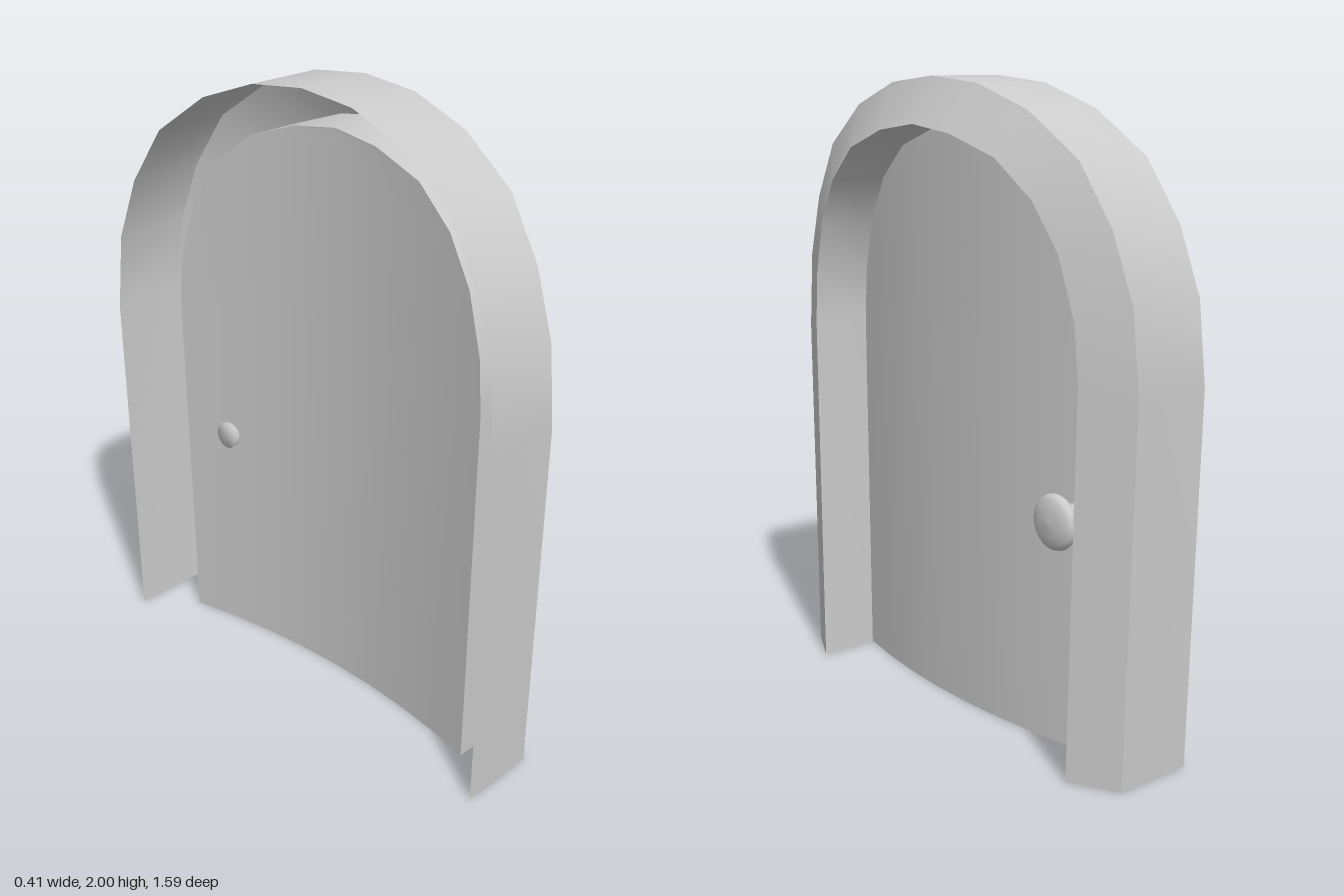
import * as THREE from 'three';

// half outlines as [z, y], from the foot up to the crown
const OUTER = [[0.77, 0], [0.795, 1.15], [0.77, 1.4], [0.7, 1.6], [0.585, 1.78], [0.4, 1.91], [0.2, 1.98], [0, 2]];
const INNER = [[0.62, 0], [0.64, 1.18], [0.625, 1.35], [0.57, 1.53], [0.48, 1.67], [0.345, 1.78], [0.165, 1.84], [0, 1.862]];

// the whole door bows outward along x
const outerBackX = z => -0.13 - 0.125 * z * z;
const outerFrontX = z => 0.13 - 0.125 * z * z;
const innerFrontX = z => 0.205 - 0.183 * z * z;
const panelX = z => 0.005 - 0.19 * z * z;

// full arch line, from the +z foot over the crown to the -z foot
function arch(half, bow) {
  const other = half.slice(0, -1).reverse().map(([z, y]) => [-z, y]);
  return [...half, ...other].map(([z, y]) => [bow(z), y, z]);
}

// smooth surface through rows of equally many points
function loft(rows) {
  const n = rows[0].length, index = [];
  for (let r = 0; r < rows.length - 1; r++) {
    for (let c = 0; c < n - 1; c++) {
      const a = r * n + c, b = a + 1, d = a + n, e = d + 1;
      index.push(a, d, b, b, d, e);
    }
  }
  const geo = new THREE.BufferGeometry();
  geo.setAttribute('position', new THREE.Float32BufferAttribute(rows.flat(2), 3));
  geo.setIndex(index);
  geo.computeVertexNormals();
  return geo;
}

export function createModel() {
  const group = new THREE.Group();
  group.name = 'archedDoor';
  const grey = new THREE.MeshStandardMaterial({ color: 0xcccccc, side: THREE.DoubleSide });
  grey.name = 'light grey';

  const add = (name, geo, parent = group) => {
    const mesh = new THREE.Mesh(geo, grey);
    mesh.name = name;
    parent.add(mesh);
    return mesh;
  };

  // frame: outer wall, slanted front face and inner reveal, open at the back
  const frame = new THREE.Group();
  frame.name = 'frame';
  group.add(frame);
  const back = arch(OUTER, outerBackX), front = arch(OUTER, outerFrontX);
  const lip = arch(INNER, innerFrontX), seat = arch(INNER, panelX);
  add('frameOuterWall', loft([back, front]), frame);
  add('frameFrontFace', loft([front, lip]), frame);
  add('frameReveal', loft([lip, seat]), frame);

  // bowed door panel, one row for each height of the inner arch
  const cols = 8;
  const rows = INNER.map(([w, y]) => Array.from({ length: cols + 1 }, (_, i) => {
    const z = w * (1 - 2 * i / cols);
    return [panelX(z), y, z];
  }));
  add('doorPanel', loft(rows));

  // round knob with stem, turned to point along +x
  const profile = [[0, 0], [0.045, 0], [0.042, 0.03], [0.042, 0.07], [0.07, 0.072], [0.082, 0.08],
    [0.086, 0.09], [0.082, 0.102], [0.07, 0.112], [0.04, 0.12], [0, 0.123]];
  const knob = add('doorKnob', new THREE.LatheGeometry(profile.map(p => new THREE.Vector2(...p)), 24));
  knob.rotation.z = -Math.PI / 2;
  knob.position.set(-0.05, 0.73, -0.46);

  return group;
}
